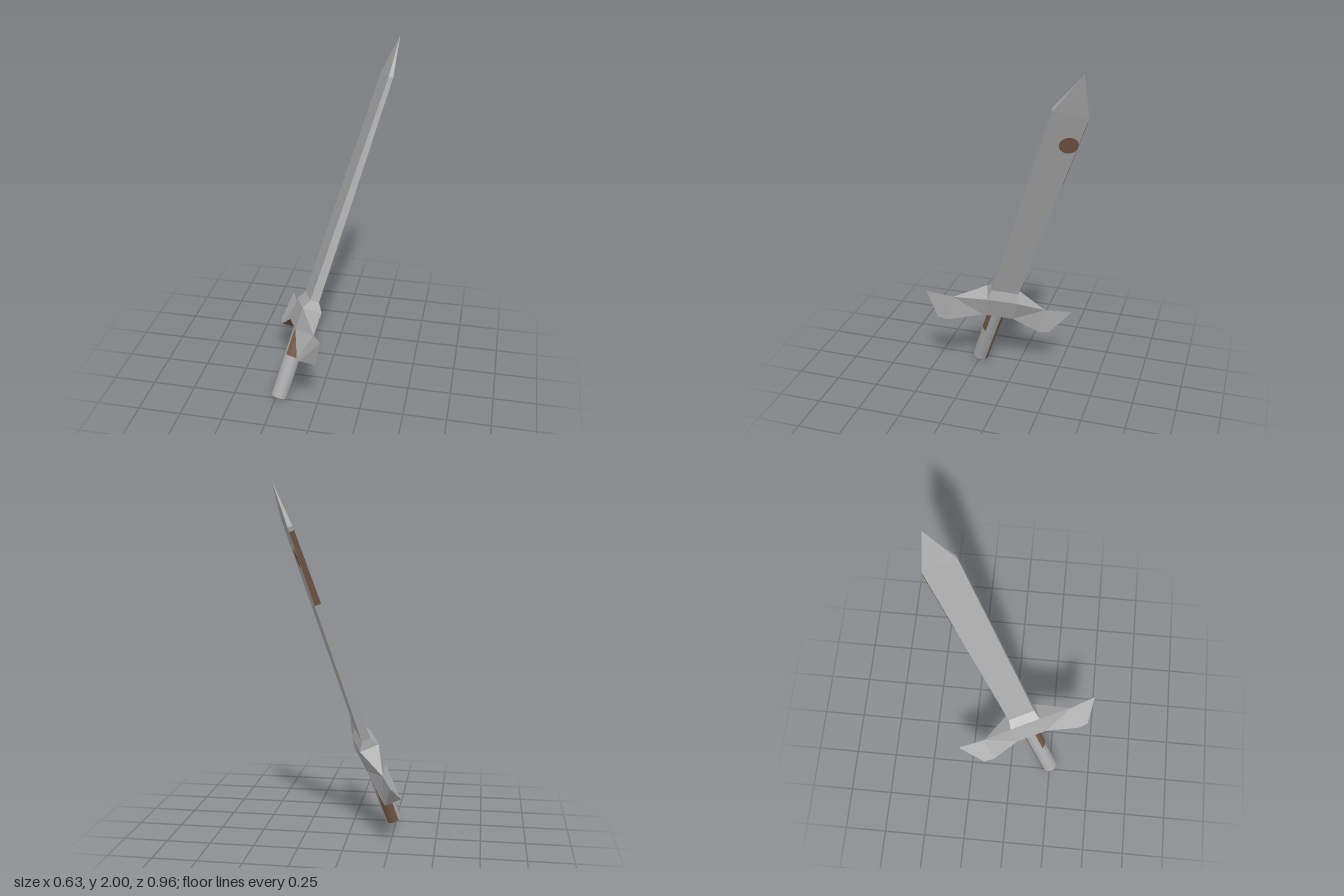
import * as THREE from 'three';
import { ConvexGeometry } from 'three/addons/geometries/ConvexGeometry.js';

const steel = new THREE.MeshStandardMaterial({ color: 0xaaaaaa });
steel.name = 'steel';
const rust = new THREE.MeshStandardMaterial({ color: 0x745846, side: THREE.DoubleSide });
rust.name = 'rust';

// Sword frame: x across the guard, y along the blade, z through its thickness
const BASE = 0.62, SHOULDER = 1.943, TIP = 2.174;
const along = (v) => (v - BASE) / (SHOULDER - BASE);
const halfWidth = (v) => 0.081 + 0.013 * along(v);
const halfThick = (v) => 0.026 - 0.013 * along(v);

function add(parent, name, geometry, material) {
  const mesh = new THREE.Mesh(geometry, material);
  mesh.name = name;
  parent.add(mesh);
  return mesh;
}

// Four corners of a rectangle at height y
const ring = (y, x, z) =>
  [[x, z], [-x, z], [-x, -z], [x, -z]].map(([a, b]) => new THREE.Vector3(a, y, b));

function moveVertices(geometry, rule) {
  const p = geometry.attributes.position;
  for (let i = 0; i < p.count; i++) p.setXYZ(i, ...rule(p.getX(i), p.getY(i)));
  geometry.computeVertexNormals();
  return geometry;
}

// Guard arm: square root, triangular middle, upswept point
function wingGeometry(side) {
  const points = [
    [0.092, 0.575, 0.057], [0.092, 0.575, -0.057], [0.092, 0.44, 0.057], [0.092, 0.44, -0.057],
    [0.28, 0.493, 0], [0.28, 0.344, 0.05], [0.28, 0.344, -0.05],
    [0.341, 0.351, 0.047], [0.341, 0.351, -0.047], [0.442, 0.511, 0],
  ];
  const faces = [
    [2, 3, 6], [2, 6, 5], // underside
    [0, 4, 1], [0, 2, 4], [2, 5, 4], [5, 7, 4], [4, 7, 9],
    [1, 4, 3], [3, 4, 6], [6, 4, 8], [4, 9, 8],
    [7, 8, 9], [5, 6, 8], [5, 8, 7],
  ];
  const position = [];
  for (const [a, b, c] of faces) {
    for (const i of side > 0 ? [a, b, c] : [a, c, b]) {
      position.push(points[i][0] * side, points[i][1], points[i][2]);
    }
  }
  const g = new THREE.BufferGeometry();
  g.setAttribute('position', new THREE.Float32BufferAttribute(position, 3));
  g.addGroup(0, 6, 1);
  g.addGroup(6, position.length / 3 - 6, 0);
  g.computeVertexNormals();
  return g;
}

// Curved rust plate on the grip, between two angles measured from +x towards +z
function gripPatch(from, to, y0, y1) {
  const rad = Math.PI / 180;
  const g = new THREE.CylinderGeometry(0.048, 0.048, y1 - y0, 12, 1, true,
    (90 - to) * rad, (to - from) * rad);
  return g.translate(0, (y0 + y1) / 2, 0);
}

export function createModel() {
  const model = new THREE.Group();
  model.name = 'sword';
  const sword = new THREE.Group();
  sword.name = 'tiltedSword';
  model.add(sword);

  // Blade
  add(sword, 'blade', new ConvexGeometry([
    ...ring(BASE - 0.02, 0.081, 0.026), ...ring(SHOULDER, 0.094, 0.013),
    new THREE.Vector3(0.002, TIP, 0),
  ]), steel);

  // Rust on the blade face and its edge
  add(sword, 'bladeRustSpot', moveVertices(new THREE.CircleGeometry(0.05, 28), (x, y) => {
    const v = y + 1.759;
    return [Math.max(x - 0.045, -halfWidth(v)), v, -halfThick(v) - 0.002];
  }), rust);
  add(sword, 'bladeEdgeRust', moveVertices(new THREE.PlaneGeometry(1, 1), (x, y) => {
    const v = 1.71 + y * 0.42;
    return [-halfWidth(v) - 0.002, v, x * 2 * halfThick(v)];
  }), rust);

  // Guard: block, sloped collar and two arms
  add(sword, 'guardBlock', new ConvexGeometry([
    ...ring(0.44, 0.092, 0.057), ...ring(0.575, 0.092, 0.057),
  ]), steel);
  add(sword, 'guardCollar', new ConvexGeometry([
    ...ring(0.575, 0.092, 0.057), ...ring(0.627, 0.081, 0.026),
  ]), steel);
  add(sword, 'leftGuardArm', wingGeometry(1), steel);
  add(sword, 'rightGuardArm', wingGeometry(-1), [steel, rust]);

  // Grip with worn rust patches
  add(sword, 'grip', new THREE.CylinderGeometry(0.0465, 0.0465, 0.45, 24).translate(0, 0.225, 0), steel);
  add(sword, 'gripFrontRust', gripPatch(-48, 65, 0.265, 0.44), rust);
  add(sword, 'gripBackRust', gripPatch(150, 236, 0, 0.44), rust);

  // Lean the whole sword
  const up = new THREE.Vector3(0.251, 0.91, -0.3295).normalize();
  const across = new THREE.Vector3(0.379, 0.221, 0.899);
  const normal = across.clone().cross(up).normalize();
  across.crossVectors(up, normal);
  sword.quaternion.setFromRotationMatrix(new THREE.Matrix4().makeBasis(across, up, normal));
  sword.position.set(-0.229, 0.02, 0.249);
  return model;
}
